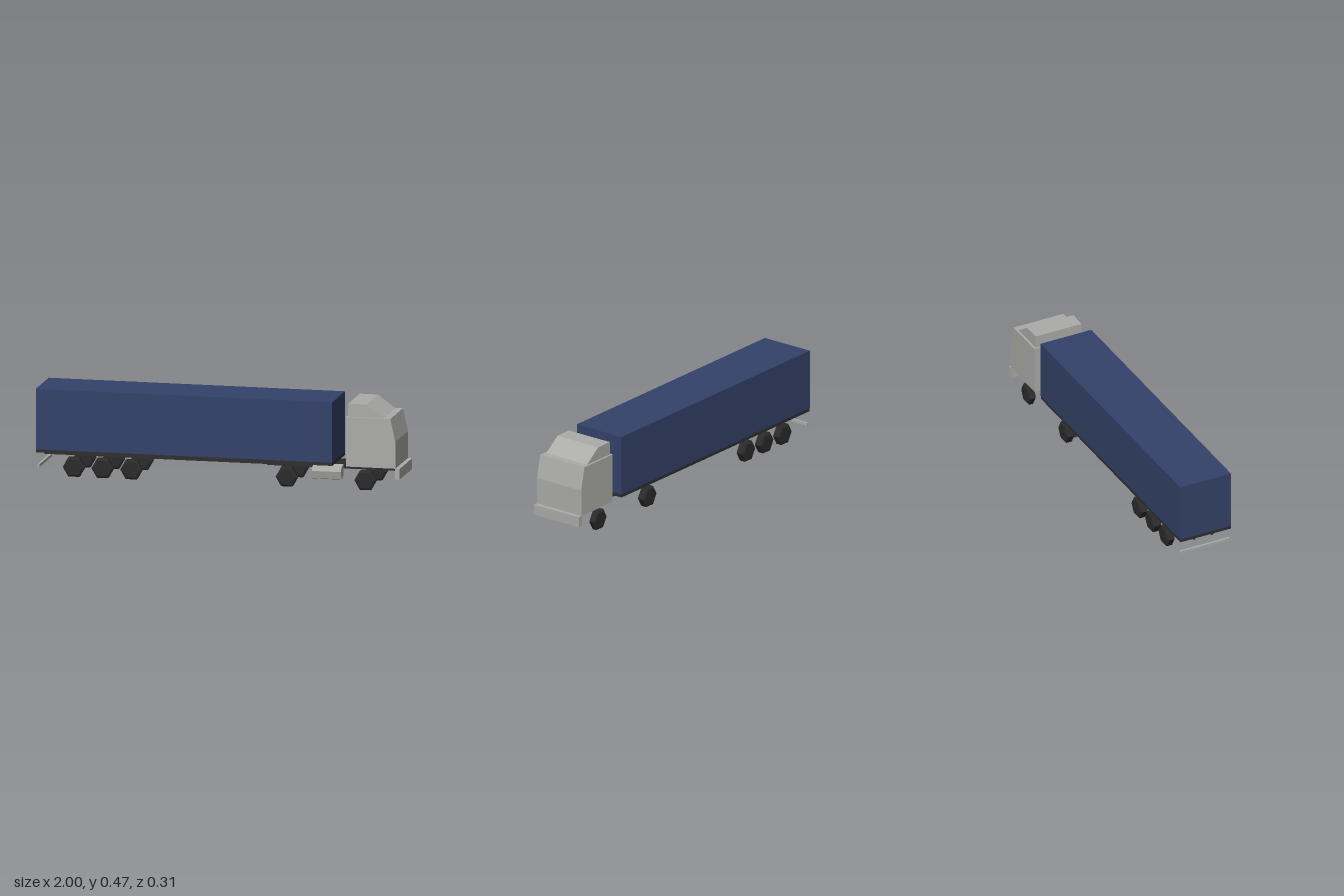
import * as THREE from 'three';

export function createModel() {
  const truck = new THREE.Group();
  truck.name = 'articulatedTruck';

  const mat = (name, color) => {
    const m = new THREE.MeshStandardMaterial({ color });
    m.name = name;
    return m;
  };
  const blue = mat('trailerBlue', 0x34426a);
  const grey = mat('cabGrey', 0xacaca9);
  const dark = mat('chassisDark', 0x2f2f2f);
  const rubber = mat('tyreBlack', 0x2b2b2b);

  const add = (name, geometry, material) => {
    const mesh = new THREE.Mesh(geometry, material);
    mesh.name = name;
    truck.add(mesh);
    return mesh;
  };

  // Box given by its limits along each axis
  const box = (name, material, [x0, x1], [y0, y1], [z0, z1]) =>
    add(name, new THREE.BoxGeometry(x1 - x0, y1 - y0, z1 - z0)
      .translate((x0 + x1) / 2, (y0 + y1) / 2, (z0 + z1) / 2), material);

  // Straight prism from an outline, centred on its extrusion axis
  const prism = (outline, depth) =>
    new THREE.ExtrudeGeometry(
      new THREE.Shape(outline.map(([x, y]) => new THREE.Vector2(x, y))),
      { depth, bevelEnabled: false }
    ).translate(0, 0, -depth / 2);

  // Trailer: cargo box on a thin bed
  box('cargoBox', blue, [-1, 0.63], [0.142, 0.473], [-0.153, 0.153]);
  box('trailerBed', dark, [-1, 0.63], [0.125, 0.142], [-0.152, 0.152]);

  // Mirrored rails and landing legs
  for (const s of [-1, 1]) {
    const span = (a, b) => (s > 0 ? [a, b] : [-b, -a]);
    box('trailerRail', dark, [-0.975, 0.63], [0.1, 0.125], span(0.047, 0.059));
    box('tractorRail', dark, [0.25, 0.953], [0.095, 0.124], span(0.046, 0.06));
    box('landingLeg', dark, [0.34, 0.356], [0.037, 0.125], span(0.087, 0.102));
    box('landingFoot', dark, [0.33, 0.366], [0.033, 0.038], span(0.075, 0.111));
  }

  // Rear underrun bar
  box('rearBar', grey, [-0.992, -0.98], [0.045, 0.061], [-0.15, 0.15]);

  // Cab with raked windscreen, roof deflector and front bumper
  add('cab', prism([
    [0.705, 0.125], [0.977, 0.125], [0.977, 0.27], [0.95, 0.396], [0.705, 0.396],
  ], 0.302), grey);
  add('roofDeflector', prism([
    [0.715, 0.396], [0.912, 0.396], [0.815, 0.467], [0.715, 0.467],
  ], 0.278), grey);
  box('frontBumper', grey, [0.974, 1], [0.066, 0.124], [-0.152, 0.152]);

  // Faceted fuel tank on the +z side
  const tank = prism([
    [-0.068, 0.06], [-0.104, 0.042], [-0.118, 0.047],
    [-0.129, 0.088], [-0.119, 0.112], [-0.068, 0.12],
  ], 0.16);
  tank.rotateY(Math.PI / 2).translate(0.593, 0, 0);
  add('fuelTank', tank, grey);

  // Six-sided wheels with bevelled shoulders
  const wheelGeometry = (width) => {
    const h = width / 2;
    const profile = [[0, -h], [0.048, -h], [0.06, -h + 0.007], [0.06, h - 0.007], [0.048, h], [0, h]]
      .map(([r, y]) => new THREE.Vector2(r, y));
    const g = new THREE.LatheGeometry(profile, 6, Math.PI / 2).rotateX(Math.PI / 2).toNonIndexed();
    g.computeVertexNormals();
    return g;
  };
  const frontWheel = wheelGeometry(0.038);
  const rearWheel = wheelGeometry(0.047);
  for (const x of [-0.794, -0.636, -0.478, 0.377, 0.81]) {
    for (const s of [-1, 1]) {
      const front = x > 0.5;
      const wheel = add(front ? 'frontWheel' : 'rearWheel', front ? frontWheel : rearWheel, rubber);
      wheel.position.set(x, 0.052, s * (front ? 0.133 : 0.128));
    }
  }

  return truck;
}
